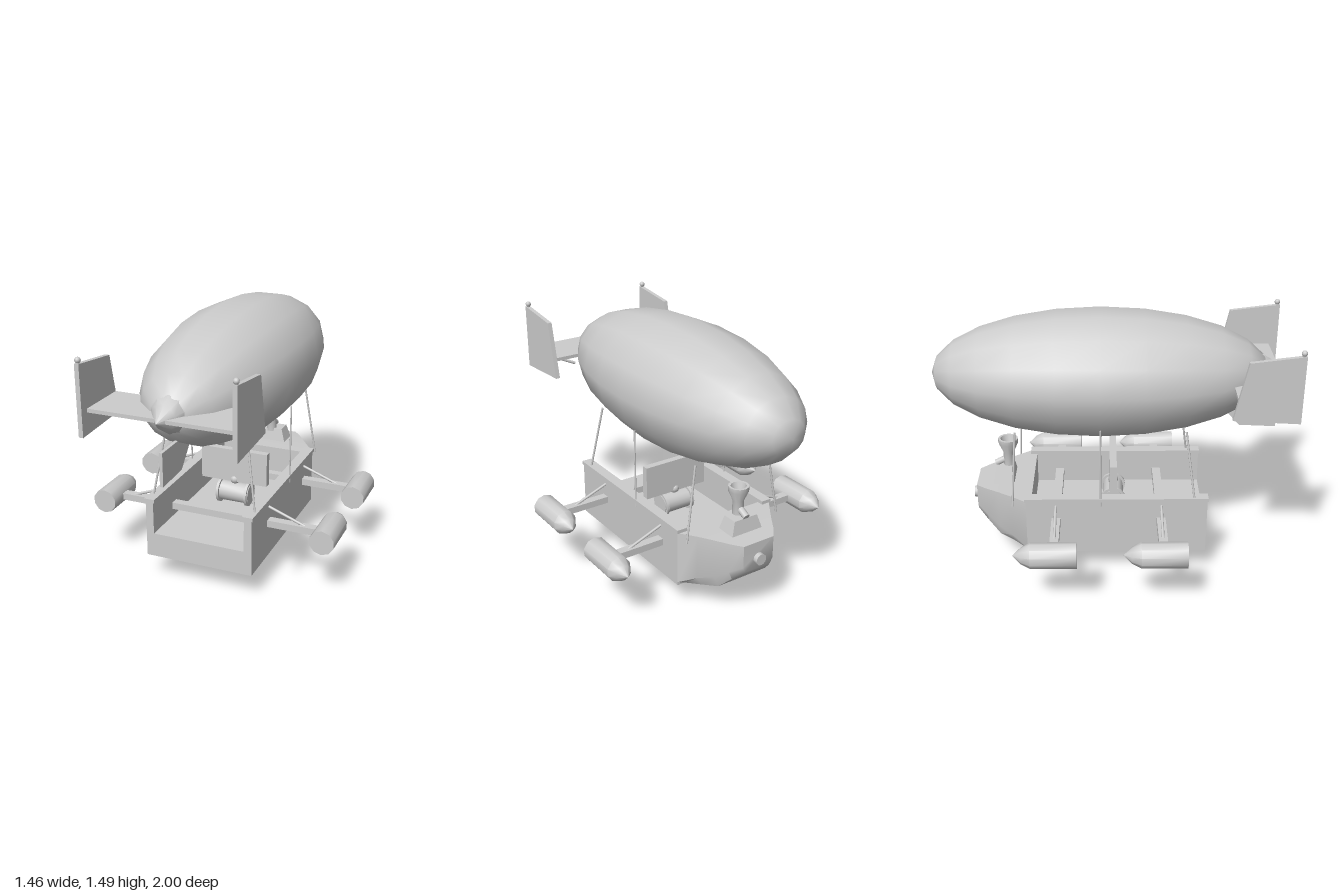
import * as THREE from 'three';
import { toCreasedNormals } from 'three/addons/utils/BufferGeometryUtils.js';

export function createModel() {
  const root = new THREE.Group();
  root.name = 'airship';
  const grey = new THREE.MeshStandardMaterial({ color: 0xcccccc });
  grey.name = 'plain grey';

  const add = (name, geo, x = 0, y = 0, z = 0) => {
    const m = new THREE.Mesh(geo, grey);
    m.name = name;
    m.position.set(x, y, z);
    root.add(m);
    return m;
  };
  // box given by its limits
  const box = (name, x0, x1, y0, y1, z0, z1) =>
    add(name, new THREE.BoxGeometry(x1 - x0, y1 - y0, z1 - z0), (x0 + x1) / 2, (y0 + y1) / 2, (z0 + z1) / 2);
  // round bar between two points
  const rod = (name, a, b, r) => {
    const p = new THREE.Vector3(...a), q = new THREE.Vector3(...b);
    const m = add(name, new THREE.CylinderGeometry(r, r, p.distanceTo(q), 8), ...p.clone().lerp(q, 0.5));
    m.quaternion.setFromUnitVectors(new THREE.Vector3(0, 1, 0), q.sub(p).normalize());
    return m;
  };
  // turned part with sharp edges kept
  const lathe = (pts, sides, crease = 0.7) =>
    toCreasedNormals(new THREE.LatheGeometry(pts.map(p => new THREE.Vector2(...p)), sides), crease);
  // upright plate from a (z, y) outline
  const plate = (name, pts, x, t) => {
    const shape = new THREE.Shape(pts.map(p => new THREE.Vector2(...p)));
    const g = new THREE.ExtrudeGeometry(shape, { depth: t, bevelEnabled: false });
    g.rotateY(-Math.PI / 2).translate(t / 2, 0, 0);
    return add(name, g, x);
  };

  // Gas envelope and tail cone
  const CY = 1.143;
  const env = new THREE.SphereGeometry(1, 14, 12);
  env.rotateX(Math.PI / 2).scale(0.405, 0.359, 0.945);
  add('envelope', env, 0, CY, -0.055);
  add('tailCone', lathe([[0.1, 0.8], [0.102, 0.85], [0.065, 0.905], [0, 0.99]], 10).rotateX(Math.PI / 2), 0, CY, 0);

  // Tail surfaces
  box('tailPlane', -0.4, 0.4, CY - 0.01, CY + 0.01, 0.665, 0.95);
  plate('lowerFin', [[0.65, 0.98], [0.65, 0.91], [0.74, 0.81], [0.95, 0.8], [0.95, 0.98]], 0, 0.018);
  for (const s of [-1, 1]) {
    plate('sideFin', [[0.64, 1.035], [1, 1.015], [1, 1.395], [0.71, 1.36]], s * 0.41, 0.025);
    rod('finPost', [s * 0.41, 1.36, 0.985], [s * 0.41, 1.4, 0.985], 0.01);
    add('finBall', new THREE.SphereGeometry(0.016, 10, 8), s * 0.41, 1.41, 0.985);
    rod('tailStrut', [s * 0.39, 1.135, 0.78], [s * 0.24, 1.07, 0.74], 0.009);
  }

  // Gondola hull: solid base, side walls, capped rims
  box('hullBase', -0.315, 0.315, 0.15, 0.29, -0.48, 0.545);
  box('foreBulkhead', -0.27, 0.27, 0.29, 0.48, -0.48, -0.45);
  for (const s of [-1, 1]) {
    const wall = [s * 0.27, s * 0.315].sort((a, b) => a - b);
    const cap = [s * 0.26, s * 0.322].sort((a, b) => a - b);
    box('hullWall', ...wall, 0.29, 0.482, -0.48, 0.545);
    box('wallCap', ...cap, 0.48, 0.5, -0.488, 0.55);
  }

  // Rounded nose: sections of [z, half width, top, lower side, bottom]
  const sections = [
    [-0.48, 0.315, 0.48, 0.17, 0.15], [-0.57, 0.25, 0.48, 0.22, 0.165], [-0.65, 0.195, 0.477, 0.25, 0.18],
    [-0.72, 0.15, 0.474, 0.3, 0.25], [-0.78, 0.1, 0.47, 0.34, 0.31],
  ].map(([z, w, t, m, b]) => [[-w, t, z], [-w, m, z], [-0.85 * w, b, z], [0.85 * w, b, z], [w, m, z], [w, t, z]]);
  const tri = [];
  for (let i = 0; i < sections.length - 1; i++) {
    for (let j = 0; j < 6; j++) {
      const k = (j + 1) % 6;
      const a = sections[i][j], b = sections[i][k], c = sections[i + 1][k], d = sections[i + 1][j];
      tri.push(a, d, c, a, c, b);
    }
  }
  const tip = sections[sections.length - 1];
  for (let j = 1; j < 5; j++) tri.push(tip[0], tip[j + 1], tip[j]);
  const nose = new THREE.BufferGeometry();
  nose.setAttribute('position', new THREE.Float32BufferAttribute(tri.flat(), 3));
  add('nose', toCreasedNormals(nose, 0.8));
  add('noseLamp', toCreasedNormals(new THREE.CylinderGeometry(0.033, 0.033, 0.05, 12), 0.7).rotateX(Math.PI / 2), 0, 0.37, -0.782);

  // Funnel on its tapered base
  const base = new THREE.CylinderGeometry(0.75, 1, 1, 4, 1).rotateY(Math.PI / 4).scale(0.141, 0.08, 0.085);
  add('funnelBase', toCreasedNormals(base, 0.3), 0, 0.518, -0.62);
  add('funnel', lathe([[0.032, 0.54], [0.032, 0.64], [0.058, 0.7], [0.058, 0.725], [0.044, 0.725], [0.025, 0.65], [0, 0.65]], 12), 0, 0, -0.595);
  rod('funnelPipe', [0, 0.595, -0.61], [0, 0.565, -0.67], 0.02);

  // Winch and upright board
  const drum = (name, r, len, x) =>
    add(name, toCreasedNormals(new THREE.CylinderGeometry(r, r, len, 14), 0.7).rotateZ(Math.PI / 2), x, 0.367, 0.015);
  drum('winchDrum', 0.06, 0.2, 0);
  for (const s of [-1, 1]) drum('winchFlange', 0.074, 0.015, s * 0.088);
  add('winchKnob', new THREE.SphereGeometry(0.03, 12, 8), 0, 0.45, 0.015);
  box('board', -0.205, 0.205, 0.44, 0.64, -0.005, 0.035);

  // Cross beams, struts and engine pods
  const pod = lathe([[0, 0.125], [0.071, 0.125], [0.071, -0.125], [0.045, -0.175], [0, -0.222]].reverse(), 10).rotateX(Math.PI / 2);
  for (const [beamZ, podZ] of [[0.285, 0.285], [-0.312, -0.31]]) {
    box('crossBeam', -0.62, 0.62, 0.335, 0.375, beamZ - 0.025, beamZ + 0.025);
    for (const s of [-1, 1]) {
      rod('beamStrut', [s * 0.3, 0.455, beamZ], [s * 0.525, 0.37, beamZ], 0.008);
      add('enginePod', pod, s * 0.66, 0.355, podZ);
    }
  }

  // Suspension cables
  for (const s of [-1, 1]) {
    rod('rearCable', [s * 0.24, 0.88, 0.418], [s * 0.308, 0.46, 0.475], 0.006);
    rod('middleCable', [s * 0.314, 0.925, -0.058], [s * 0.314, 0.45, -0.058], 0.005);
    rod('frontCable', [s * 0.24, 0.88, -0.53], [s * 0.308, 0.45, -0.555], 0.006);
  }

  // Mooring hook below the hull
  rod('hookRod', [0, 0.16, 0.01], [0, 0.075, 0.01], 0.008);
  add('hookRing', new THREE.TorusGeometry(0.031, 0.009, 8, 16).rotateY(Math.PI / 2), 0, 0.042, 0.01);

  return root;
}
